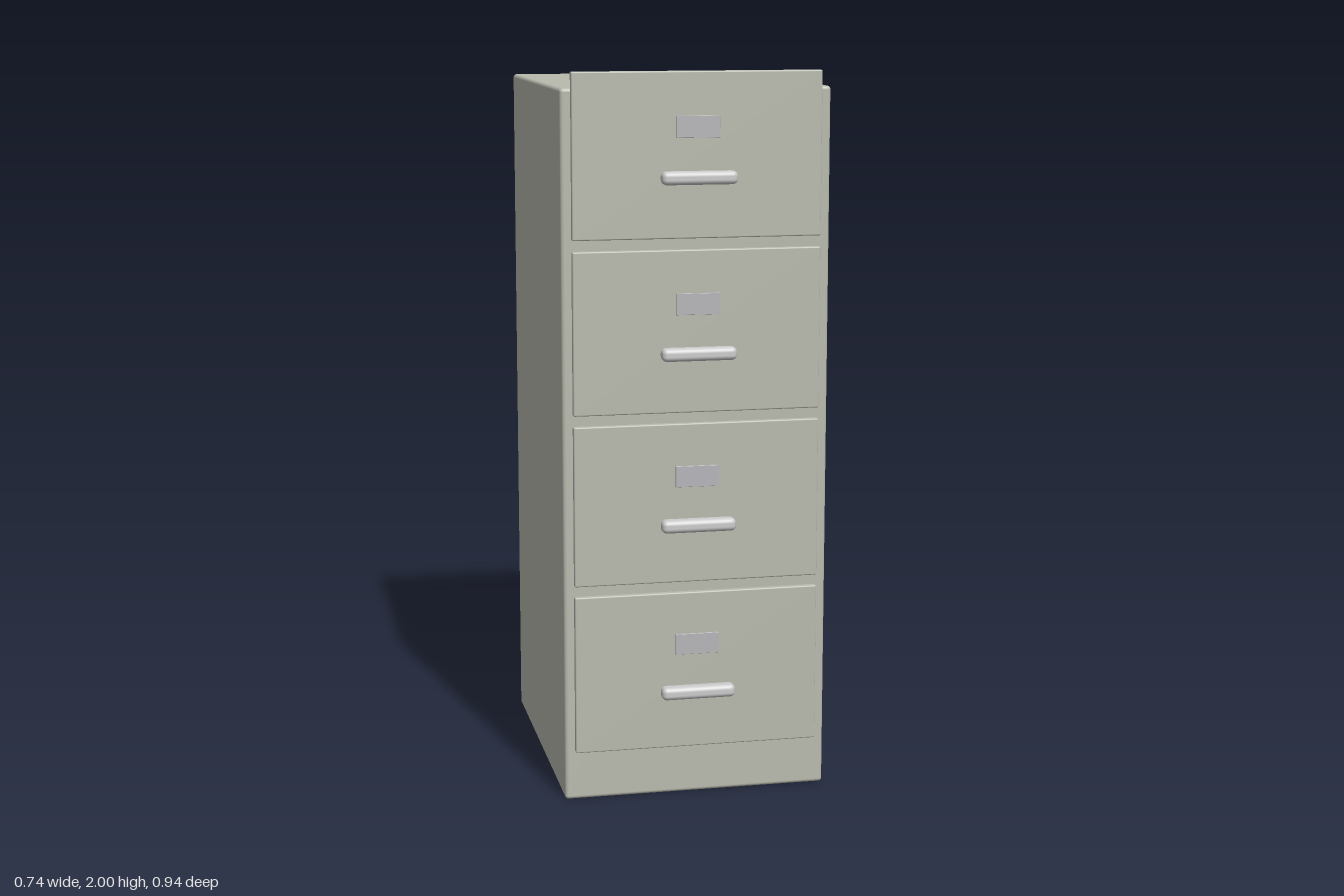
import * as THREE from 'three';
import { RoundedBoxGeometry } from 'three/addons/geometries/RoundedBoxGeometry.js';

const paint = new THREE.MeshStandardMaterial({ color: 0xb8baae });
const metal = new THREE.MeshStandardMaterial({ color: 0xcccccc });
const card = new THREE.MeshStandardMaterial({ color: 0xb6b6ba });

// Rounded box given by its lower and upper bounds on each axis
function block(name, [x0, x1], [y0, y1], [z0, z1], radius, material) {
  const geometry = new RoundedBoxGeometry(x1 - x0, y1 - y0, z1 - z0, 4, radius);
  const mesh = new THREE.Mesh(geometry, material);
  mesh.name = name;
  mesh.position.set((x0 + x1) / 2, (y0 + y1) / 2, (z0 + z1) / 2);
  return mesh;
}

// Drawer front with its pull and label plate; y = 0 is its lower edge
function makeDrawer() {
  const drawer = new THREE.Group();
  drawer.add(
    block('drawerFront', [-0.34, 0.34], [0, 0.443], [0.408, 0.431], 0.004, paint),
    block('handle', [-0.103, 0.103], [0.145, 0.181], [0.426, 0.468], 0.014, metal),
    block('labelPlate', [-0.06, 0.06], [0.268, 0.326], [0.426, 0.437], 0.001, card)
  );
  return drawer;
}

export function createModel() {
  const model = new THREE.Group();
  model.name = 'filingCabinet';

  // Cabinet shell
  model.add(block('cabinetBody', [-0.368, 0.368], [0, 1.957], [-0.468, 0.415], 0.01, paint));

  // Four stacked drawers, the top one rising slightly above the shell
  for (let i = 0; i < 4; i++) {
    const drawer = makeDrawer();
    drawer.name = `drawer${i + 1}`;
    drawer.position.y = 0.138 + i * 0.473;
    model.add(drawer);
  }
  return model;
}
